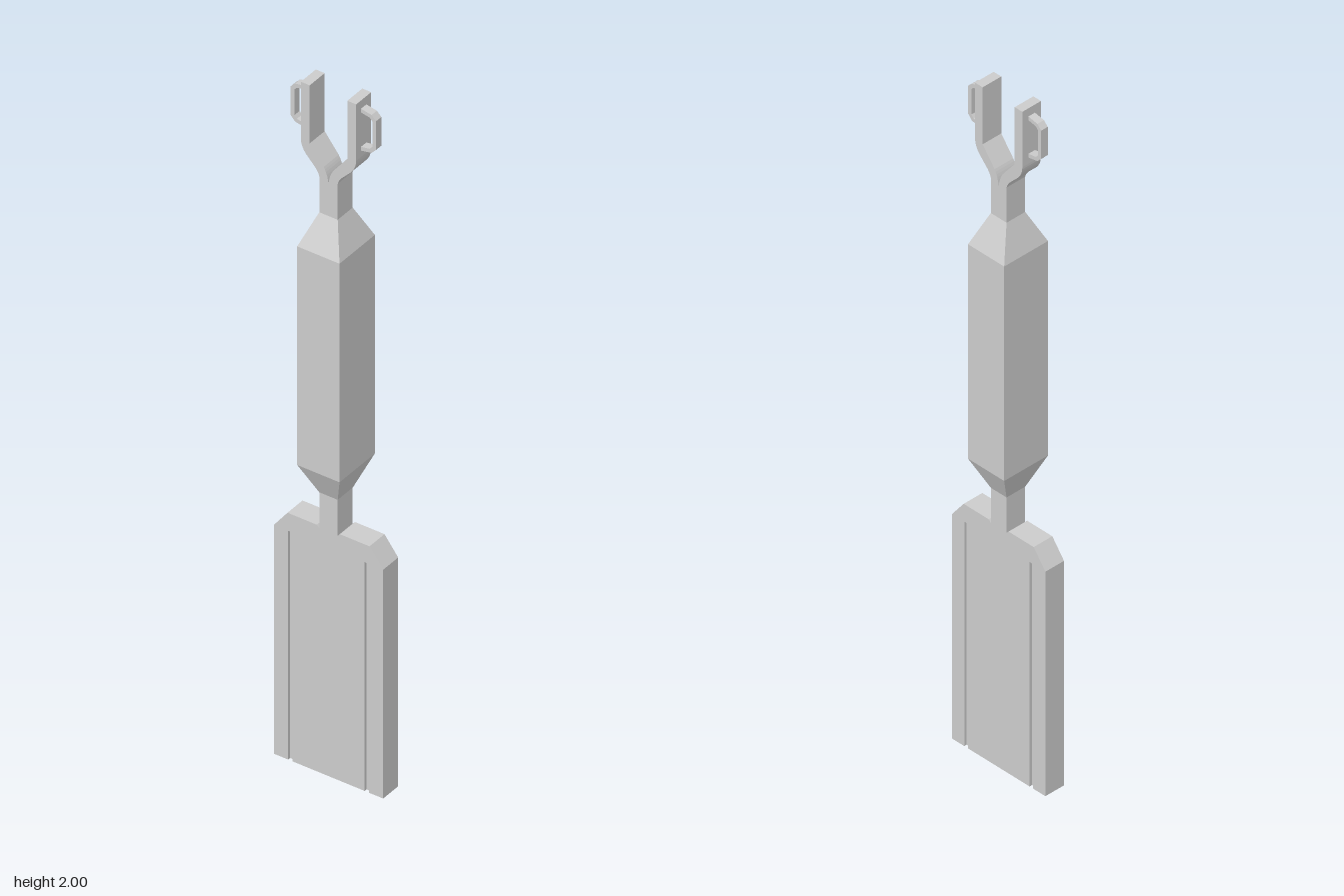
import * as THREE from 'three';

const grey = new THREE.MeshStandardMaterial({ color: 0xcccccc, flatShading: true });
const thin = new THREE.MeshStandardMaterial({ color: 0xcccccc, flatShading: true, side: THREE.DoubleSide });
const HALF = 0.031; // half thickness of neck, prongs and blade

const shapeOf = (pts) => new THREE.Shape(pts.map(([x, y]) => new THREE.Vector2(x, y)));

function add(parent, name, geometry, material = grey) {
  const mesh = new THREE.Mesh(geometry, material);
  mesh.name = name;
  parent.add(mesh);
  return mesh;
}

function slab(shape, depth) {
  return new THREE.ExtrudeGeometry(shape, { depth, bevelEnabled: false, curveSegments: 6 })
    .translate(0, 0, -depth / 2);
}

// Open wall following an x-y path between two depths
function wall(path, z0, z1) {
  const pos = [];
  for (let i = 0; i < path.length - 1; i++) {
    const [ax, ay] = path[i], [bx, by] = path[i + 1];
    pos.push(ax, ay, z0, bx, by, z1, ax, ay, z1, ax, ay, z0, bx, by, z0, bx, by, z1);
  }
  const g = new THREE.BufferGeometry();
  g.setAttribute('position', new THREE.Float32BufferAttribute(pos, 3));
  g.computeVertexNormals();
  return g;
}

// Square shaft swelling into the grip: [y, half width, half depth]
function shaftGeometry() {
  const stations = [
    [0, 0.027, HALF], [0.82, 0.027, HALF], [0.91, 0.062, 0.073],
    [1.55, 0.062, 0.073], [1.64, 0.027, HALF], [1.71, 0.027, HALF],
  ];
  const n = stations.length - 1;
  const g = new THREE.CylinderGeometry(1, 1, 1, 4, n, true, Math.PI / 4);
  const p = g.attributes.position;
  for (let i = 0; i < p.count; i++) {
    const [y, hx, hz] = stations[Math.round((p.getY(i) + 0.5) * n)];
    p.setXYZ(i, Math.sign(p.getX(i)) * hx, y, Math.sign(p.getZ(i)) * hz);
  }
  g.computeVertexNormals();
  return g;
}

// Half of the hollow blade, open underneath, with a groove on both faces
function bladeHalf() {
  const half = new THREE.Group();
  const rim = [[0.16, 0], [0.16, 0.67], [0.12, 0.722], [0.034, 0.722], [0.027, 0.715]];
  const x0 = 0.106, x1 = 0.118, top = 0.67, depth = 0.008;
  const groove = [[x0, 0], [x0, top], [x1, top], [x1, 0]];
  const face = shapeOf([[0.027, 0], ...groove, ...rim]);
  add(half, 'bladeRim', wall(rim, HALF, -HALF), thin);
  for (const s of [1, -1]) {
    const floorZ = s * (HALF - depth);
    const turn = (g) => (s < 0 ? g.scale(-1, 1, 1).rotateY(Math.PI) : g);
    add(half, 'bladeFace', turn(new THREE.ShapeGeometry(face)).translate(0, 0, s * HALF), thin);
    add(half, 'grooveWall', wall(groove, s * HALF, floorZ), thin);
    add(half, 'grooveFloor', new THREE.PlaneGeometry(x1 - x0, top)
      .rotateY(s < 0 ? Math.PI : 0).translate((x0 + x1) / 2, top / 2, floorZ), thin);
  }
  return half;
}

// One prong of the fork with its side loop
function prongHalf() {
  const half = new THREE.Group();
  const s = new THREE.Shape();
  s.moveTo(0, 1.7);
  s.lineTo(0.027, 1.7);
  s.lineTo(0.027, 1.745);
  s.quadraticCurveTo(0.03, 1.757, 0.04, 1.768);
  s.lineTo(0.066, 1.795);
  s.quadraticCurveTo(0.081, 1.813, 0.081, 1.835);
  s.lineTo(0.081, 2);
  s.lineTo(0.055, 2);
  s.lineTo(0.055, 1.83);
  s.lineTo(0.014, 1.778);
  s.quadraticCurveTo(0.003, 1.76, 0, 1.735);
  add(half, 'prong', slab(s, HALF * 2));

  const loop = shapeOf([
    [0.08, 1.853], [0.112, 1.859], [0.125, 1.873], [0.125, 1.957], [0.112, 1.97], [0.08, 1.976],
    [0.08, 1.965], [0.107, 1.96], [0.114, 1.952], [0.114, 1.877], [0.107, 1.869], [0.08, 1.864],
  ]);
  add(half, 'sideLoop', slab(loop, 0.022));
  return half;
}

export function createModel() {
  const model = new THREE.Group();
  model.name = 'forkedPaddle';
  add(model, 'shaft', shaftGeometry(), thin);
  for (const [side, sign] of [['left', 1], ['right', -1]]) {
    const blade = bladeHalf();
    blade.name = side + 'Blade';
    const prong = prongHalf();
    prong.name = side + 'Prong';
    for (const part of [blade, prong]) {
      part.scale.x = sign;
      model.add(part);
    }
  }
  return model;
}
